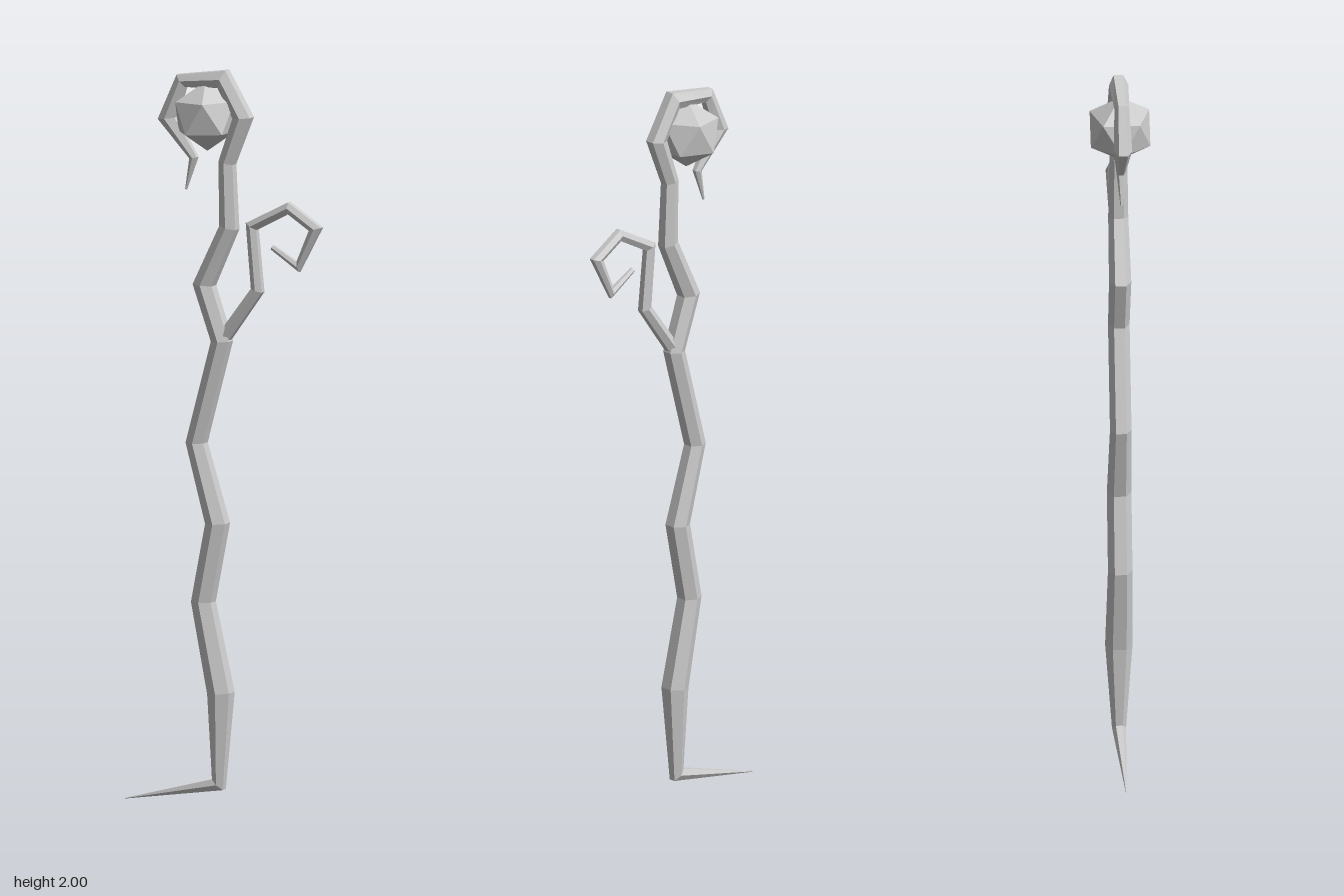
import * as THREE from 'three';

const material = new THREE.MeshStandardMaterial({ color: 0xcccccc, flatShading: true });

// Six-sided limb with mitred bends along a path of [x, y, radius] in the z = 0 plane
function limb(name, path, sides = 6) {
  const points = path.map(([x, y]) => new THREE.Vector2(x, y));
  const positions = [];
  const index = [];
  path.forEach(([x, y, r], i) => {
    const before = points[i].clone().sub(points[Math.max(i - 1, 0)]).normalize();
    const after = points[Math.min(i + 1, path.length - 1)].clone().sub(points[i]).normalize();
    const along = before.clone().add(after).normalize();
    const mitre = 1 / along.dot(i ? before : after);
    for (let k = 0; k < sides; k++) {
      const a = (k / sides) * Math.PI * 2;
      const s = Math.sin(a) * r * mitre;
      positions.push(x - along.y * s, y + along.x * s, Math.cos(a) * r);
    }
  });
  for (let i = 0; i < path.length - 1; i++) {
    for (let k = 0; k < sides; k++) {
      const a = i * sides + k;
      const b = i * sides + ((k + 1) % sides);
      index.push(a, a + sides, b, b, a + sides, b + sides);
    }
  }
  // End caps
  const last = (path.length - 1) * sides;
  for (let k = 1; k < sides - 1; k++) {
    index.push(0, k, k + 1, last, last + k + 1, last + k);
  }
  const geometry = new THREE.BufferGeometry();
  geometry.setAttribute('position', new THREE.Float32BufferAttribute(positions, 3));
  geometry.setIndex(index);
  const flat = geometry.toNonIndexed();
  flat.computeVertexNormals();
  const mesh = new THREE.Mesh(flat, material);
  mesh.name = name;
  return mesh;
}

export function createModel() {
  const group = new THREE.Group();
  group.name = 'staff';

  // Crooked shaft, from the pointed root to the curl around the orb
  group.add(limb('shaft', [
    [-0.288, 0.005, 0.001], [-0.009, 0.062, 0.019], [-0.003, 0.31, 0.037],
    [-0.055, 0.555, 0.033], [-0.013, 0.77, 0.033], [-0.075, 0.985, 0.029],
    [0, 1.265, 0.029], [-0.052, 1.415, 0.03], [0.022, 1.575, 0.027],
    [0.016, 1.75, 0.024], [0.063, 1.875, 0.027], [0.004, 1.977, 0.026],
    [-0.118, 1.964, 0.02], [-0.16, 1.86, 0.025], [-0.083, 1.757, 0.012],
    [-0.106, 1.67, 0.003],
  ]));

  // Side twig ending in an inward curl
  group.add(limb('twig', [
    [0, 1.265, 0.02], [0.106, 1.41, 0.018], [0.09, 1.583, 0.017],
    [0.199, 1.64, 0.016], [0.279, 1.588, 0.016], [0.227, 1.482, 0.011],
    [0.15, 1.53, 0.008],
  ]));

  // Faceted orb held by the curl
  const orb = new THREE.Mesh(new THREE.IcosahedronGeometry(0.094), material);
  orb.name = 'orb';
  orb.position.set(-0.046, 1.872, 0);
  orb.rotation.z = -Math.PI / 6;
  group.add(orb);

  return group;
}
